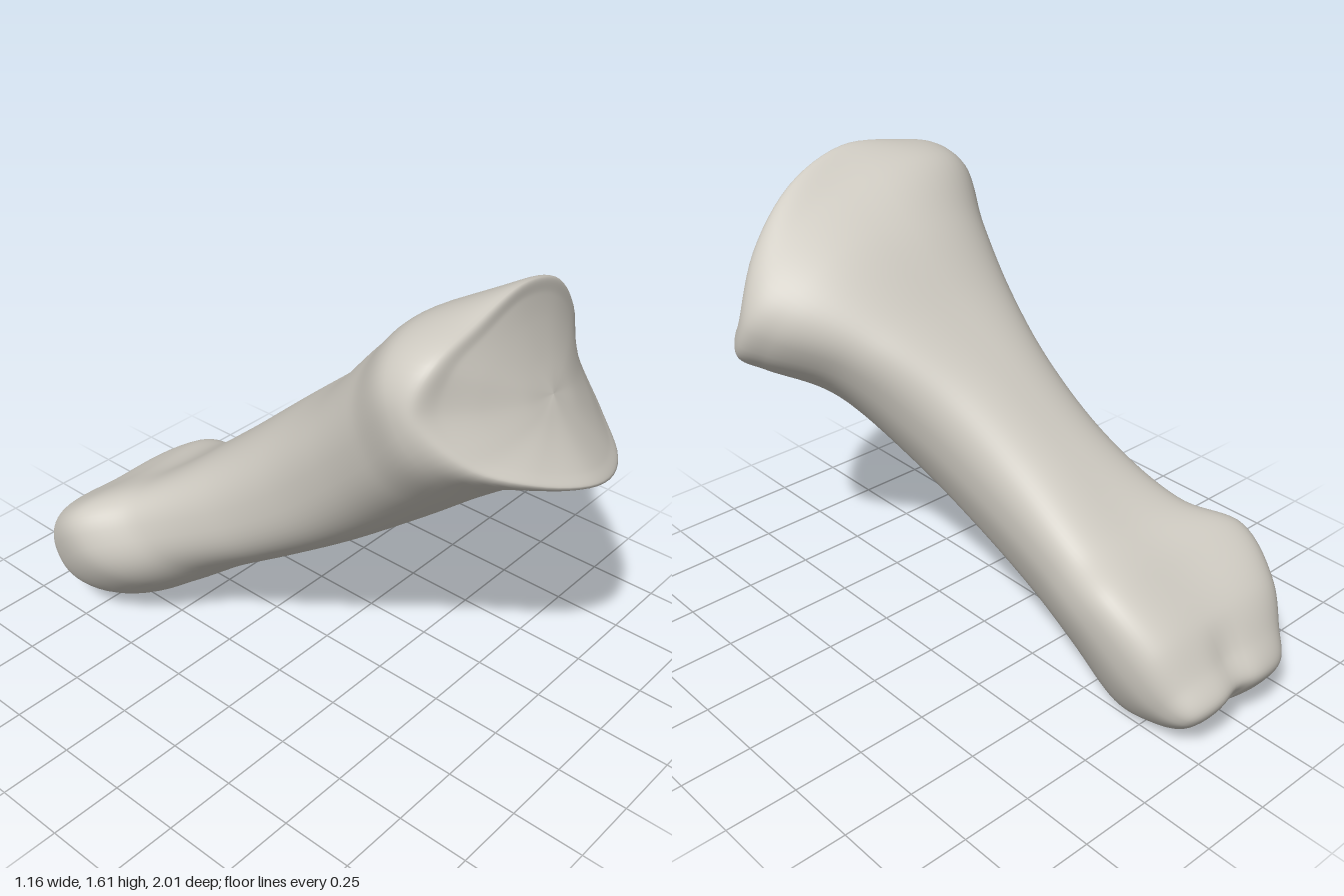
import * as THREE from 'three';

const AROUND = 72, ALONG = 128;

// Cross-section stations, from the low back end to the flared head:
// bottom z, y | top z, y | min x, max x | roll, lift of the sides, setback of the left side
const STATIONS = [
  [-0.92, 0.075, -1.01, 0.215, -0.41, 0.02, 0, 0.1, 0],
  [-0.77, 0.015, -0.95, 0.30, -0.49, 0.075, 0, 0.25, 0],
  [-0.64, 0.005, -0.86, 0.41, -0.55, 0.115, 0, 0.4, 0],
  [-0.44, 0.14, -0.69, 0.52, -0.58, 0.14, 0, 0.5, 0],
  [-0.25, 0.275, -0.53, 0.60, -0.46, 0.115, 0, 0.35, 0],
  [0.00, 0.44, -0.30, 0.78, -0.385, 0.14, 0.05, 0.15, 0],
  [0.25, 0.61, -0.07, 0.98, -0.36, 0.22, 0.08, 0.1, 0],
  [0.50, 0.79, 0.15, 1.17, -0.375, 0.365, 0.05, 0.15, 0.02],
  [0.68, 0.91, 0.36, 1.39, -0.415, 0.53, -0.15, 0, 0.11],
  [0.83, 0.99, 0.54, 1.525, -0.46, 0.58, -0.35, 0, 0.22],
];

// Rim of the joint face, counterclockwise from the model's left
const RIM = [
  [0.555, 1.15, 0.57], [0.46, 1.36, 0.60], [0.27, 1.53, 0.65], [0.03, 1.605, 0.685],
  [-0.20, 1.575, 0.70], [-0.38, 1.52, 0.70], [-0.445, 1.39, 0.69], [-0.37, 1.25, 0.80],
  [-0.20, 1.16, 0.93], [0.02, 1.09, 1.0], [0.27, 1.03, 0.92], [0.47, 1.04, 0.73],
].map((p) => new THREE.Vector3(...p));

const soft = (v) => Math.sign(v) * Math.abs(v) ** 0.85;

// Rounded section with a keel below, shifted toward the model's left
function sectionRing([zb, yb, zt, yt, x0, x1, roll, lift, setback]) {
  return Array.from({ length: AROUND }, (_, j) => {
    const a = (j / AROUND) * Math.PI * 2;
    const c = soft(Math.cos(a)), s = soft(Math.sin(a));
    const v = s + roll * c + lift * c * c;
    const keel = 0.1 * Math.min(0, s) ** 2 * (1 - c * c);
    const back = setback * Math.max(0, c) ** 2;
    return new THREE.Vector3(
      (x0 + x1) / 2 + (c * (x1 - x0)) / 2 + keel,
      (yb + yt) / 2 + (v * (yt - yb)) / 2 - back * 0.2,
      (zb + zt) / 2 + (v * (zt - zb)) / 2 - back,
    );
  });
}

// Saddle surface of the joint face: hollow up and down, arched from side to side
function saddle(x, y) {
  const dx = x - 0.05, dy = y - 1.3;
  return 0.81 - 0.65 * dy + 0.88 * dy * dy - 0.81 * dx * dx - 0.276 * dx;
}

function boneGeometry() {
  const rimCurve = new THREE.CatmullRomCurve3(RIM, true);
  const rim = Array.from({ length: AROUND }, (_, j) => rimCurve.getPoint(j / AROUND));
  const backTip = new THREE.Vector3(-0.18, 0.14, -0.98);

  // Rings inside the rim ease from the rim onto the saddle
  const inset = (k) => rim.map((p) => {
    const x = THREE.MathUtils.lerp(p.x, 0.05, k), y = THREE.MathUtils.lerp(p.y, 1.3, k);
    return new THREE.Vector3(x, y, saddle(x, y) + (p.z - saddle(p.x, p.y)) * (1 - k) ** 2);
  });

  const rings = [
    rim.map(() => backTip), ...STATIONS.map(sectionRing),
    rim, ...[0.15, 0.38, 0.7, 1].map(inset),
  ];

  // Smooth skin running lengthwise through the rings
  const pos = [], index = [];
  const columns = rim.map((_, j) => new THREE.CatmullRomCurve3(rings.map((r) => r[j])));
  for (let i = 0; i <= ALONG; i++) {
    for (let j = 0; j < AROUND; j++) {
      const p = columns[j].getPoint(i / ALONG);
      // shallow notch between the two knuckles at the back
      const back = THREE.MathUtils.smoothstep(-p.z, 0.86, 0.97);
      p.z += 0.02 * back * Math.exp(-(((p.x + 0.18) / 0.06) ** 2));
      pos.push(p.x, p.y, p.z);
      if (i === ALONG) continue;
      const a = i * AROUND + j, b = i * AROUND + ((j + 1) % AROUND);
      index.push(a, b, a + AROUND, b, b + AROUND, a + AROUND);
    }
  }
  const geo = new THREE.BufferGeometry();
  geo.setAttribute('position', new THREE.Float32BufferAttribute(pos, 3));
  geo.setIndex(index);
  geo.computeVertexNormals();
  return geo;
}

export function createModel() {
  const boneGrey = new THREE.MeshStandardMaterial({ color: 0xcfcbc2 });
  boneGrey.name = 'boneGrey';
  const bone = new THREE.Mesh(boneGeometry(), boneGrey);
  bone.name = 'bone';
  const group = new THREE.Group();
  group.name = 'boneModel';
  group.add(bone);
  return group;
}
